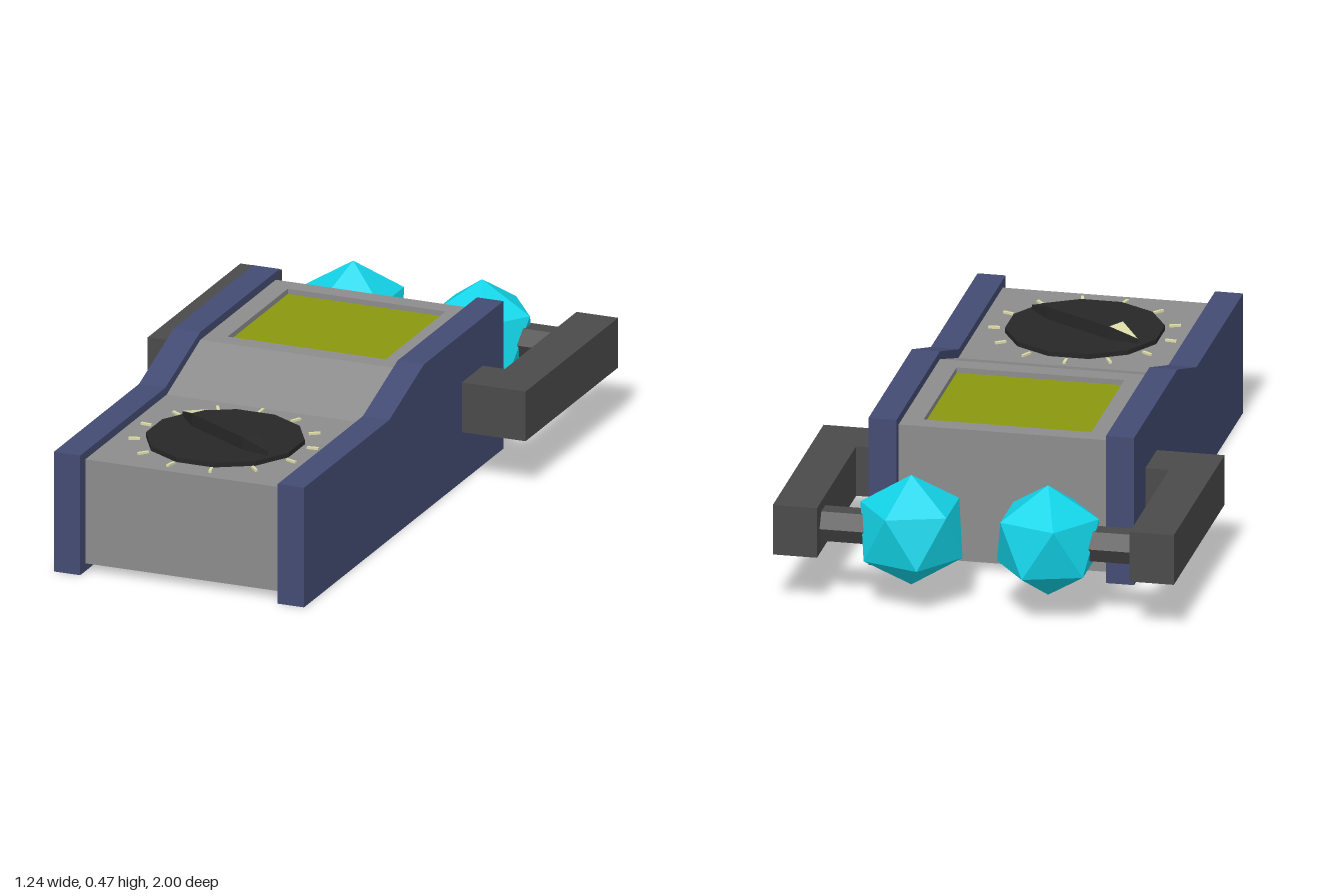
import * as THREE from 'three';
import { ConvexGeometry } from 'three/addons/geometries/ConvexGeometry.js';

const mat = (color, side = THREE.FrontSide) =>
  new THREE.MeshStandardMaterial({ color, flatShading: true, side });
const grey = mat(0x8c8c8c), blue = mat(0x434b73), dark = mat(0x4a4a4a);
const black = mat(0x272727), cream = mat(0xdcdca8, THREE.DoubleSide);
const green = mat(0x8a980f), cyan = mat(0x12d4e8);

function add(parent, name, geometry, material, x = 0, y = 0, z = 0) {
  const mesh = new THREE.Mesh(geometry, material);
  mesh.name = name;
  mesh.position.set(x, y, z);
  parent.add(mesh);
  return mesh;
}

// Box given by its lowest and highest corners
function addBox(parent, name, material, a, b) {
  const size = a.map((v, i) => Math.abs(b[i] - v));
  const mid = a.map((v, i) => (b[i] + v) / 2);
  return add(parent, name, new THREE.BoxGeometry(...size), material, ...mid);
}

// Side profile of [z, y] points, extruded along x and centred on it
function profile(points, width) {
  const shape = new THREE.Shape(points.map(([z, y]) => new THREE.Vector2(-z, y)));
  return new THREE.ExtrudeGeometry(shape, { depth: width, bevelEnabled: false })
    .rotateY(Math.PI / 2).translate(-width / 2, 0, 0);
}

export function createModel() {
  const model = new THREE.Group();
  model.name = 'handheldDetector';

  // Casing with a stepped top; the raised part carries the screen frame
  add(model, 'casing', profile([[0.96, 0.025], [0.96, 0.36], [0.33, 0.36], [0.07, 0.45],
    [0.07, 0.43], [-0.515, 0.43], [-0.515, 0.025]], 0.65), grey);

  const rect = (Type, x, z0, z1) => new Type([[-x, -z0], [x, -z0], [x, -z1], [-x, -z1]]
    .map(([u, v]) => new THREE.Vector2(u, v)));
  const frame = rect(THREE.Shape, 0.325, 0.07, -0.515);
  frame.holes.push(rect(THREE.Path, 0.26, 0.01, -0.455));
  add(model, 'screenFrame', new THREE.ExtrudeGeometry(frame, { depth: 0.02, bevelEnabled: false })
    .rotateX(-Math.PI / 2), grey, 0, 0.43, 0);
  addBox(model, 'screen', green, [-0.26, 0.425, -0.455], [0.26, 0.433, 0.01]);

  // Dial disc and its pointed grip
  const dial = new THREE.Group();
  dial.name = 'dial';
  dial.position.set(0, 0.36, 0.64);
  model.add(dial);
  add(dial, 'dialDisc', new THREE.CylinderGeometry(0.243, 0.243, 0.015, 12)
    .rotateY(Math.PI / 12), black, 0, 0.0075, 0);

  const pointer = new THREE.Group();
  pointer.name = 'pointer';
  pointer.rotation.y = -0.54;
  dial.add(pointer);
  const corners = [];
  for (const s of [-1, 1]) {
    for (const y of [0.01, 0.03]) corners.push(new THREE.Vector3(s * 0.22, y, 0));
    for (const w of [-0.03, 0.03])
      for (const y of [0.01, 0.055]) corners.push(new THREE.Vector3(s * 0.13, y, w));
  }
  add(pointer, 'pointerGrip', new ConvexGeometry(corners), black);
  const tip = new THREE.BufferGeometry().setFromPoints([
    new THREE.Vector3(-0.22, 0.032, 0), new THREE.Vector3(-0.13, 0.057, 0.03),
    new THREE.Vector3(-0.13, 0.057, -0.03)]);
  tip.computeVertexNormals();
  add(pointer, 'pointerMark', tip, cream);

  // Scale marks around the dial
  const marks = 13;
  for (let i = 0; i < marks; i++) {
    const a = (i / marks) * Math.PI * 2;
    const mark = add(dial, 'scaleMark', new THREE.BoxGeometry(0.009, 0.008, 0.036), cream,
      0.276 * Math.sin(a), 0.003, -0.276 * Math.cos(a));
    mark.rotation.y = -a;
  }

  // Mirrored side panels, arms, rods and faceted bulbs
  const panel = [[1, 0], [1, 0.385], [0.34, 0.385], [0.07, 0.475], [-0.545, 0.475], [-0.545, 0]];
  for (const s of [-1, 1]) {
    const name = s > 0 ? 'left' : 'right';
    add(model, name + 'SidePanel', profile(panel, 0.087), blue, s * 0.3685, 0, 0);
    addBox(model, name + 'ArmMount', dark, [s * 0.4, 0.16, -0.385], [s * 0.485, 0.32, -0.222]);
    addBox(model, name + 'Arm', dark, [s * 0.485, 0.16, -0.94], [s * 0.622, 0.32, -0.222]);
    add(model, name + 'Rod', new THREE.CylinderGeometry(0.055, 0.055, 0.18, 6)
      .rotateZ(Math.PI / 2), dark, s * 0.4, 0.24, -0.85);
    // One corner of the bulb points straight up
    add(model, name + 'Bulb', new THREE.IcosahedronGeometry(0.177, 0)
      .rotateZ(-s * 0.5536), cyan, s * 0.212, 0.24, -0.849);
  }
  return model;
}
